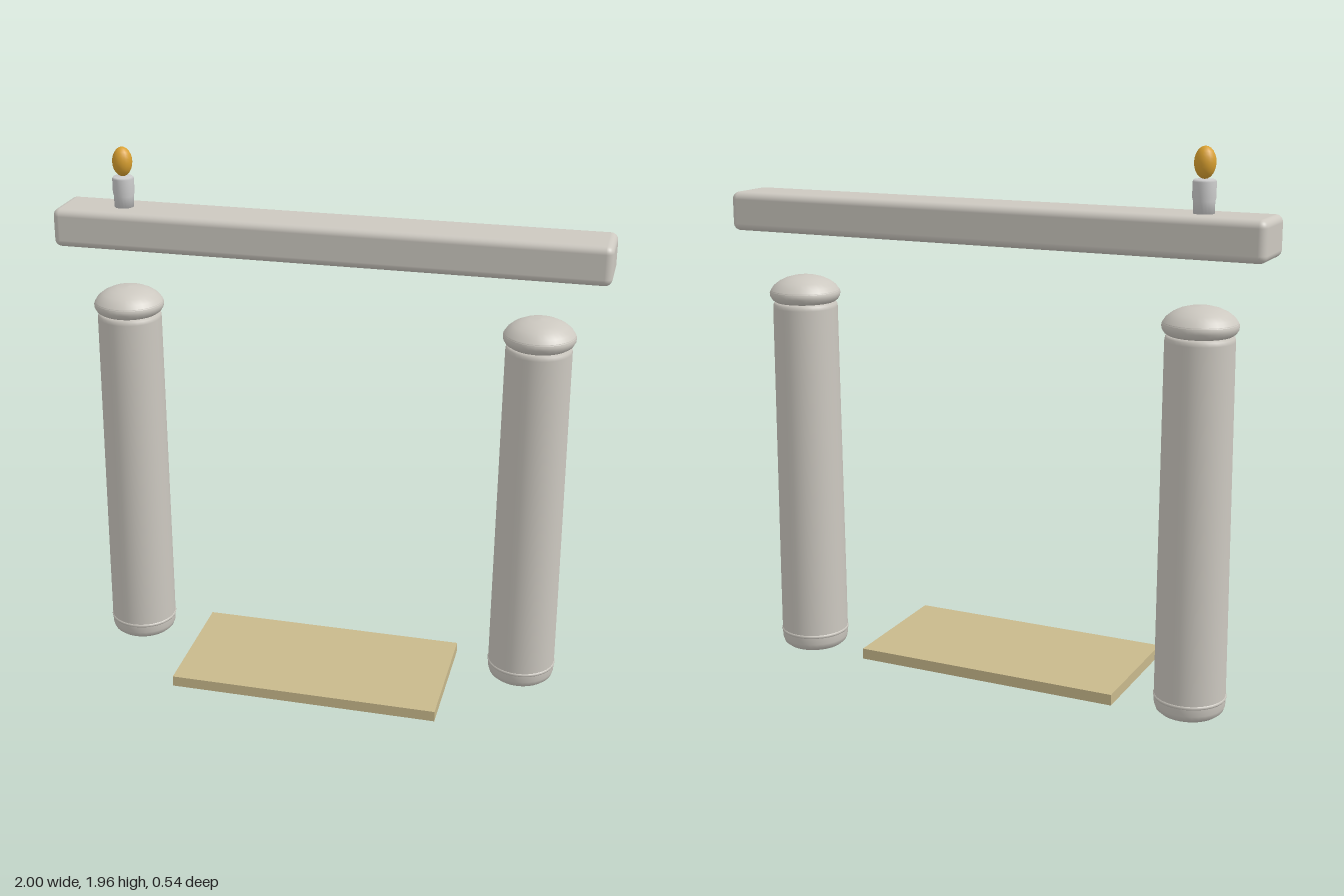
import * as THREE from 'three';
import { RoundedBoxGeometry } from 'three/addons/geometries/RoundedBoxGeometry.js';

const Z = -0.145; // depth line shared by pillars, beam and candle

const material = (color) => new THREE.MeshStandardMaterial({ color });
const stone = material(0xccc8c0);
const wax = material(0xcccccc);
const gold = material(0xd9a030);
const tan = material(0xc8b98c);

function add(parent, name, geometry, mat, x = 0, y = 0, z = 0) {
  const mesh = new THREE.Mesh(geometry, mat);
  mesh.name = name;
  mesh.position.set(x, y, z);
  parent.add(mesh);
  return mesh;
}

// Surface of revolution from [radius, height] pairs
const lathe = (points, sides = 32) =>
  new THREE.LatheGeometry(points.map(([r, y]) => new THREE.Vector2(r, y)), sides);

function createPillar(name, x) {
  const pillar = new THREE.Group();
  pillar.name = name;
  pillar.position.set(x, 0, Z);
  // Rounded foot with a slim band above it
  add(pillar, 'foot', lathe([
    [0, 0], [0.08, 0.002], [0.105, 0.007], [0.118, 0.018], [0.124, 0.035], [0.125, 0.06],
  ]), stone);
  const band = add(pillar, 'band', new THREE.TorusGeometry(0.12, 0.008, 8, 32), stone, 0, 0.066, 0);
  band.rotation.x = Math.PI / 2;
  // Tapered shaft with a softened top edge
  add(pillar, 'shaft', lathe([
    [0.125, 0.06], [0.124, 0.3], [0.121, 0.8], [0.118, 1.32], [0.116, 1.333], [0.108, 1.342], [0, 1.344],
  ]), stone);
  // Rounded rim under a shallow dome
  add(pillar, 'capRim', lathe([
    [0, 1.338], [0.108, 1.34], [0.12, 1.348], [0.128, 1.362], [0.129, 1.374], [0.125, 1.384],
  ]), stone);
  add(pillar, 'capDome', lathe([
    [0.127, 1.38], [0.115, 1.398], [0.095, 1.414], [0.07, 1.426], [0.04, 1.434], [0, 1.437],
  ]), stone);
  return pillar;
}

export function createModel() {
  const model = new THREE.Group();
  model.name = 'hearthSurround';

  model.add(createPillar('leftPillar', 0.76), createPillar('rightPillar', -0.76));

  // Floating mantel beam
  add(model, 'mantelBeam', new RoundedBoxGeometry(2, 0.14, 0.212, 4, 0.026), stone, 0, 1.669, Z);

  // Floor slab
  add(model, 'hearthSlab', new THREE.BoxGeometry(1, 0.04, 0.5), tan, 0, 0.027, 0.02);

  // Candle standing on the beam
  const candle = new THREE.Group();
  candle.name = 'candle';
  candle.position.set(-0.76, 0, Z);
  add(candle, 'candleStick', lathe([
    [0, 1.73], [0.035, 1.73], [0.036, 1.78], [0.039, 1.79], [0.039, 1.842], [0.035, 1.849], [0, 1.85],
  ], 20), wax);
  const flame = add(candle, 'flame', new THREE.SphereGeometry(1, 16, 12), gold, 0, 1.903, 0);
  flame.scale.set(0.036, 0.053, 0.036);
  model.add(candle);

  return model;
}
